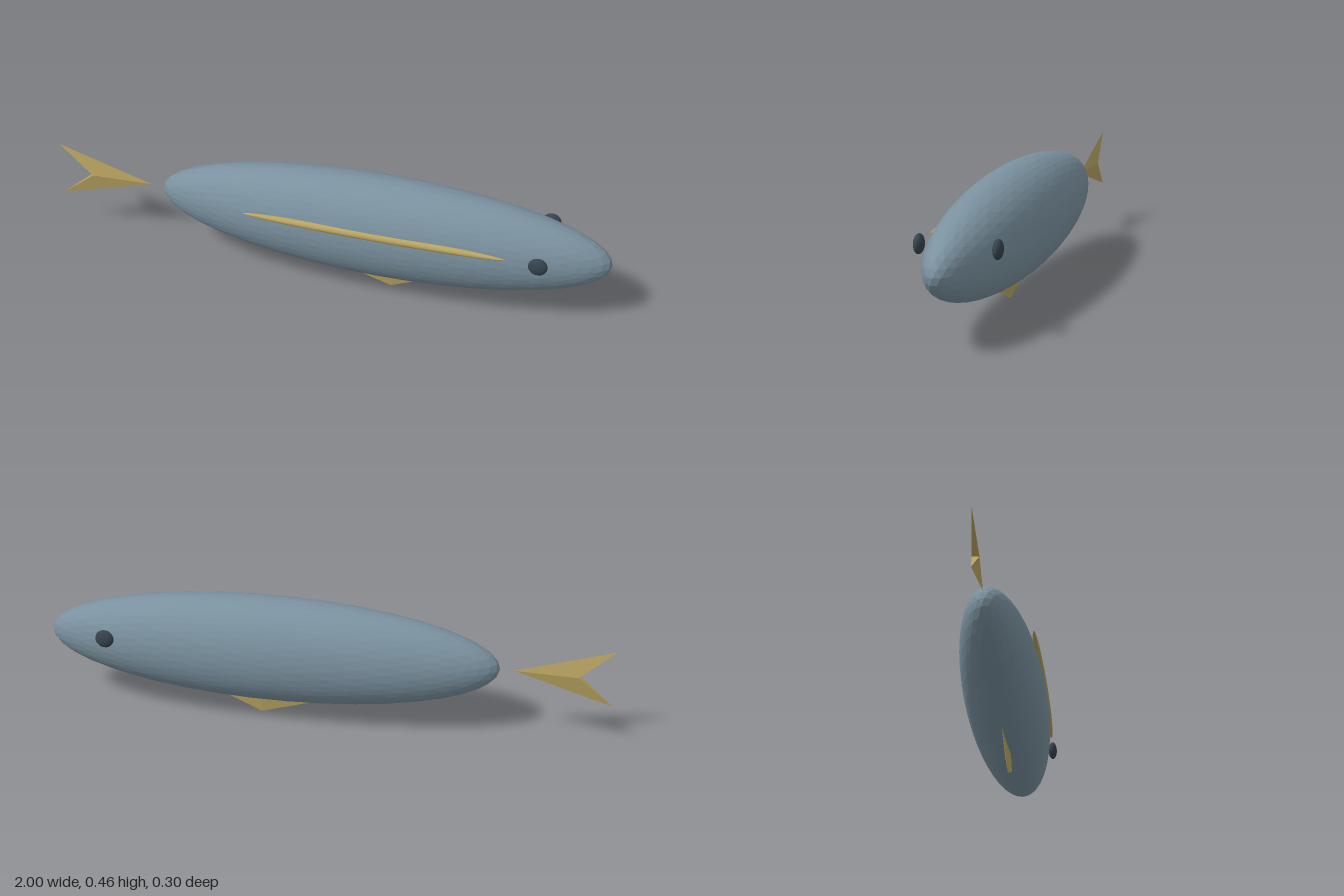
import * as THREE from 'three';

const flat = (name, color) => {
  const m = new THREE.MeshStandardMaterial({ color, flatShading: true });
  m.name = name;
  return m;
};

// Faceted ellipsoid with the given radii and centre
function ellipsoid(name, material, detail, radii, centre) {
  const geo = new THREE.IcosahedronGeometry(1, detail);
  geo.scale(...radii);
  const mesh = new THREE.Mesh(geo, material);
  mesh.name = name;
  mesh.position.set(...centre);
  return mesh;
}

// Faceted solid from corner points and triangles
function solid(name, material, corners, faces) {
  const geo = new THREE.BufferGeometry();
  geo.setAttribute('position', new THREE.Float32BufferAttribute(faces.flatMap(f => f.flatMap(i => corners[i])), 3));
  geo.computeVertexNormals();
  const mesh = new THREE.Mesh(geo, material);
  mesh.name = name;
  return mesh;
}

export function createModel() {
  const scales = flat('blue grey scales', 0x7a919f);
  const gold = flat('gold fins', 0xb8a360);
  const dark = flat('dark eyes', 0x36434d);
  const fish = new THREE.Group();
  fish.name = 'fish';

  // Body and the single side stripe
  fish.add(ellipsoid('body', scales, 7, [0.803, 0.194, 0.147], [0.196, 0.262, 0]));
  fish.add(ellipsoid('sideStripe', gold, 7, [0.46, 0.016, 0.016], [0.195, 0.311, 0.132]));

  // Eyes
  for (const [side, s] of [['left', -1], ['right', 1]])
    fish.add(ellipsoid(side + 'Eye', dark, 3, [0.033, 0.033, 0.016], [0.765, 0.305, s * 0.129]));

  // Forked tail: tip, upper point, lower point, front and back notch
  fish.add(solid('tailFin', gold,
    [[-0.655, 0.262, 0], [-1, 0.37, 0], [-1, 0.158, 0], [-0.875, 0.263, 0.012], [-0.875, 0.263, -0.012]],
    [[0, 1, 3], [0, 3, 2], [0, 4, 1], [0, 2, 4], [1, 4, 3], [2, 3, 4]]));

  // Belly fin: diamond base narrowing to a point
  fish.add(solid('bellyFin', gold,
    [[-0.03, 0.082, 0], [0.235, 0.082, 0.013], [0.42, 0.082, 0], [0.235, 0.082, -0.013], [0.235, 0, 0]],
    [[0, 4, 1], [1, 4, 2], [2, 4, 3], [3, 4, 0], [0, 1, 2], [0, 2, 3]]));

  return fish;
}
